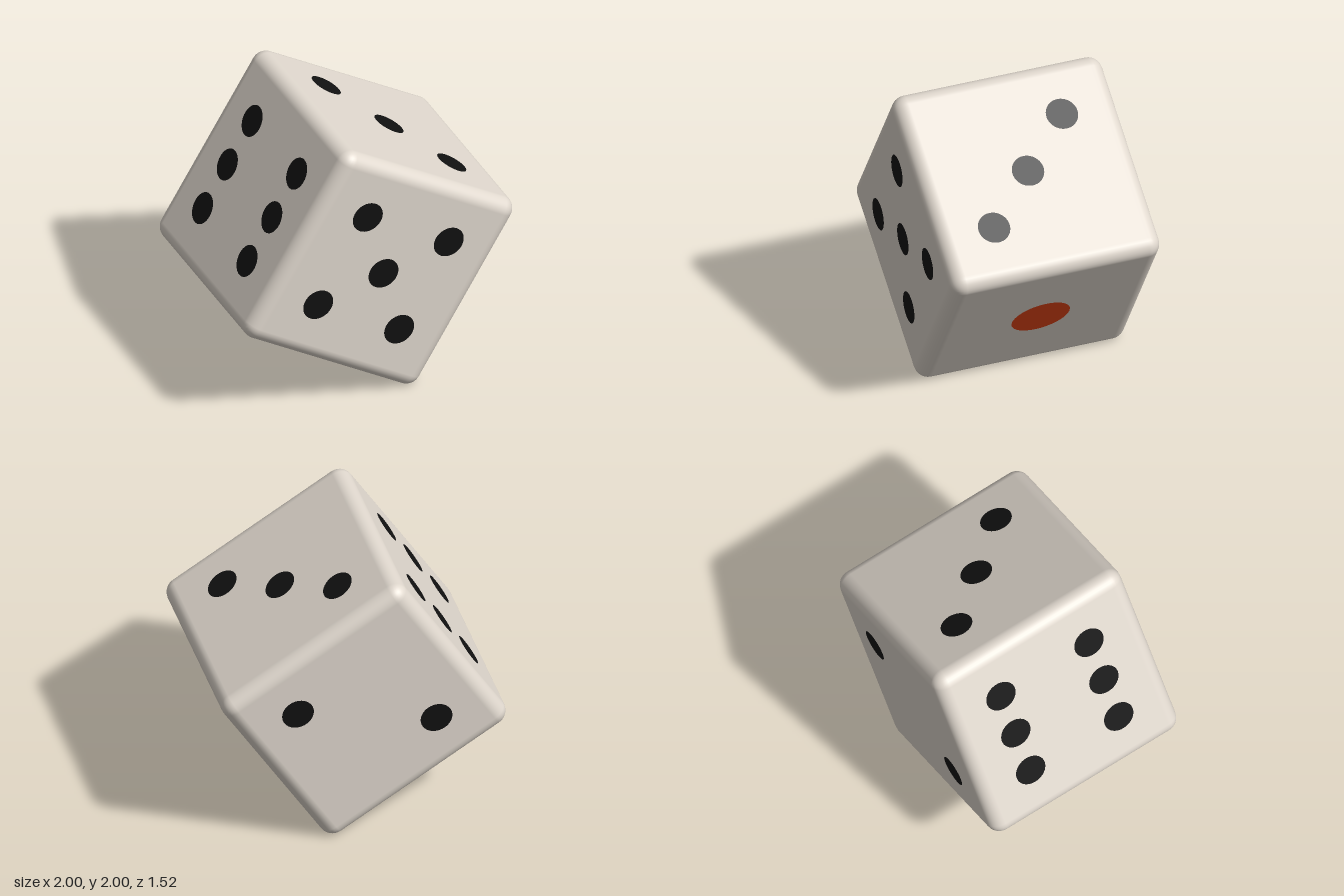
import * as THREE from 'three';
import { RoundedBoxGeometry } from 'three/addons/geometries/RoundedBoxGeometry.js';

const SIZE = 1.51;
const HALF = SIZE / 2;
const STEP = 0.355; // distance of outer pips from the face centre

export function createModel() {
  const ivory = new THREE.MeshStandardMaterial({ color: 0xe0d8ce });
  ivory.name = 'ivory';
  const black = new THREE.MeshStandardMaterial({ color: 0x111111 });
  black.name = 'black';
  const red = new THREE.MeshStandardMaterial({ color: 0xe04416 });
  red.name = 'red';

  const model = new THREE.Group();
  model.name = 'die';

  // The cube balances on one edge, tilted about z
  const die = new THREE.Group();
  die.name = 'tiltedDie';
  die.rotation.z = THREE.MathUtils.degToRad(-31.5);
  die.position.y = 1;
  model.add(die);

  const body = new THREE.Mesh(new RoundedBoxGeometry(SIZE, SIZE, SIZE, 4, 0.1), ivory);
  body.name = 'body';
  die.add(body);

  const smallPip = new THREE.CircleGeometry(0.112, 40);
  const largePip = new THREE.CircleGeometry(0.207, 40);

  // Pip positions on each face, in steps from the face centre (u right, v up)
  const corners = [[-1, -1], [1, -1], [-1, 1], [1, 1]];
  const faces = [
    { name: 'one', rot: [0, Math.PI / 2, 0], pips: [[0, 0]] },
    { name: 'two', rot: [0, Math.PI, 0], pips: [[-1, 1], [1, -1]] },
    { name: 'three', rot: [-Math.PI / 2, 0, 0], pips: [[-1, 1], [0, 0], [1, -1]] },
    { name: 'four', rot: [Math.PI / 2, 0, 0], pips: corners },
    { name: 'five', rot: [0, 0, 0], pips: [...corners, [0, 0]] },
    { name: 'six', rot: [0, -Math.PI / 2, 0], pips: [...corners, [-1, 0], [1, 0]] },
  ];

  for (const { name, rot, pips } of faces) {
    const face = new THREE.Group();
    face.name = name + 'Face';
    face.rotation.set(...rot);
    for (const [u, v] of pips) {
      const single = name === 'one';
      const pip = new THREE.Mesh(single ? largePip : smallPip, single ? red : black);
      pip.name = 'pip';
      pip.position.set(u * STEP, v * STEP, HALF + 0.003);
      face.add(pip);
    }
    die.add(face);
  }

  return model;
}
